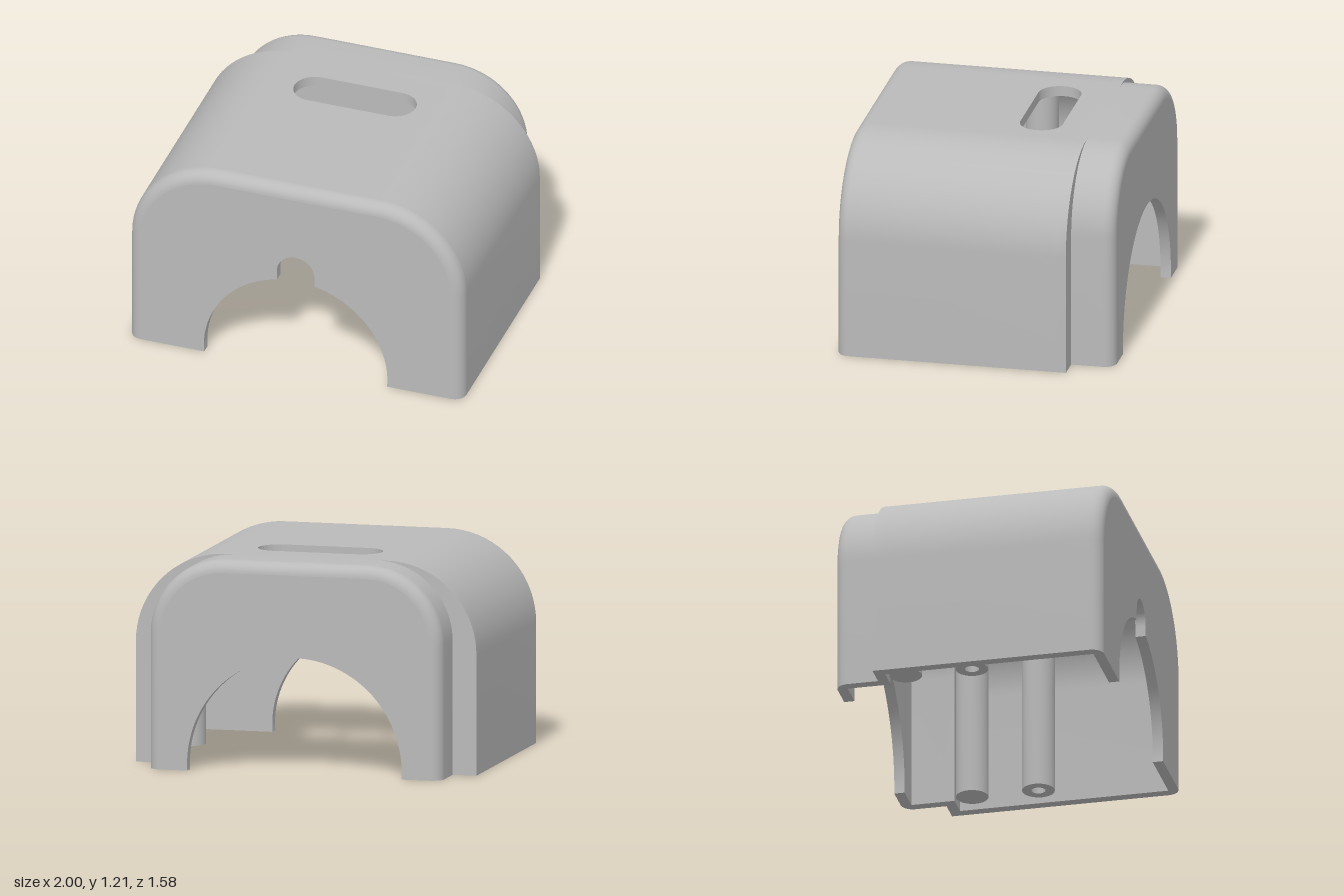
import * as THREE from 'three';
import { toCreasedNormals } from 'three/addons/utils/BufferGeometryUtils.js';

const T = 0.06;        // wall thickness
const F = 0.07;        // rim fillet radius
const TOP = 1.21;
const FRONT = 0.79, STEP = -0.54, BACK = -0.79;
const MAIN = { hw: 1, r: 0.52 };
const REAR = { hw: 0.86, r: 0.44 };
const N = 18;

// Arched outline inset by d, from the bottom at +x over the top to -x
function outline({ hw, r }, d) {
  const right = [new THREE.Vector2(hw - d, 0)];
  for (let i = 0; i <= N; i++) {
    const a = (i / N) * Math.PI / 2;
    right.push(new THREE.Vector2(hw - r + (r - d) * Math.cos(a), TOP - r + (r - d) * Math.sin(a)));
  }
  const left = right.map(p => new THREE.Vector2(-p.x, p.y)).reverse();
  return [...right, ...left];
}

// Sweep a closed section of [inset, z] points along part of an outline, with capped ends
function sweep(profile, section, from = 0, to = 2 * N + 4) {
  const columns = section.map(([d]) => outline(profile, d).slice(from, to));
  const rows = to - from, m = section.length, pos = [], index = [];
  for (let i = 0; i < rows; i++)
    for (let j = 0; j < m; j++) pos.push(columns[j][i].x, columns[j][i].y, section[j][1]);
  for (let i = 0; i < rows - 1; i++)
    for (let j = 0; j < m; j++) {
      const a = i * m + j, e = i * m + (j + 1) % m, b = a + m, c = e + m;
      index.push(a, b, c, a, c, e);
    }
  const caps = THREE.ShapeUtils.triangulateShape(section.map(([d, z]) => new THREE.Vector2(d, z)), []);
  const last = (rows - 1) * m;
  for (const [a, b, c] of caps) index.push(a, c, b, last + a, last + b, last + c);
  const geo = new THREE.BufferGeometry();
  geo.setAttribute('position', new THREE.Float32BufferAttribute(pos, 3));
  geo.setIndex(index);
  return toCreasedNormals(geo, 0.6);
}

function extrude(shape, depth, z = 0) {
  const geo = new THREE.ExtrudeGeometry(shape, { depth, bevelEnabled: false, curveSegments: 32 });
  return toCreasedNormals(geo.translate(0, 0, z), 0.6);
}

// End wall with a round opening, and optionally a keyhole notch above it
function endWall(profile, radius, cy, notch) {
  const s = new THREE.Shape(outline(profile, F));
  const low = Math.asin(cy / radius);
  if (notch) {
    const a = Math.acos(notch.r / radius);
    s.absarc(0, cy, radius, Math.PI + low, Math.PI - a, true);
    s.absarc(0, notch.y, notch.r, Math.PI, 0, true);
    s.absarc(0, cy, radius, a, -low, true);
  } else {
    s.absarc(0, cy, radius, Math.PI + low, -low, true);
  }
  return s;
}

// Post whose top follows the curved ceiling; screw posts have a blind hole
function postGeometry(x, z, hollow) {
  const r = 0.093, base = 0.03;
  const pts = hollow
    ? [[0, 0.6], [0.04, 0.6], [0.04, base], [r, base], [r, 1]]
    : [[0, base], [r, base], [r, 1]];
  const geo = new THREE.LatheGeometry(pts.map(p => new THREE.Vector2(...p)), 32);
  geo.translate(x, 0, z);
  const p = geo.attributes.position;
  const cx = MAIN.hw - MAIN.r, cr = MAIN.r - T / 2;
  for (let i = 0; i < p.count; i++)
    if (p.getY(i) > 0.9) {
      const dx = Math.max(0, Math.abs(p.getX(i)) - cx);
      p.setY(i, TOP - MAIN.r + Math.sqrt(Math.max(0, cr * cr - dx * dx)));
    }
  return toCreasedNormals(geo, 0.6);
}

export function createModel() {
  const group = new THREE.Group();
  group.name = 'cover';
  const grey = new THREE.MeshStandardMaterial({ color: 0xbababa });
  grey.name = 'grey';
  const add = (name, geo) => {
    const mesh = new THREE.Mesh(geo, grey);
    mesh.name = name;
    group.add(mesh);
  };

  // Rounded corners and sides of the main body
  const side = [[0, STEP + T], [0, FRONT - F], [T, FRONT - F], [T, STEP + T]];
  add('leftSide', sweep(MAIN, side, 0, N + 2));
  add('rightSide', sweep(MAIN, side, N + 2));

  // Top plate with a rounded slot
  const w = MAIN.hw - MAIN.r, slotY = 0.232, slotX = 0.24, slotR = 0.123;
  const plate = new THREE.Shape([
    new THREE.Vector2(-w, F - FRONT), new THREE.Vector2(w, F - FRONT),
    new THREE.Vector2(w, -STEP - T), new THREE.Vector2(-w, -STEP - T),
  ]);
  const slot = new THREE.Path();
  slot.absarc(slotX, slotY, slotR, -Math.PI / 2, Math.PI / 2, false);
  slot.absarc(-slotX, slotY, slotR, Math.PI / 2, Math.PI * 1.5, false);
  plate.holes.push(slot);
  add('topPlate', extrude(plate, T).rotateX(-Math.PI / 2).translate(0, TOP - T, 0));

  // Filleted front rim
  const arc = [];
  for (let i = 0; i <= 8; i++) {
    const a = (i / 8) * Math.PI / 2;
    arc.push([F - F * Math.cos(a), F * Math.sin(a)]);
  }
  add('frontRim', sweep(MAIN, [
    ...arc.map(([d, z]) => [d, FRONT - F + z]),
    [F, FRONT - T], [T, FRONT - T], [T, FRONT - F],
  ]));

  // Narrower rear collar with its filleted rim
  add('rearCollar', sweep(REAR, [
    [F, BACK + T],
    ...arc.map(([d, z]) => [d, BACK + F - z]).reverse(),
    [0, STEP], [T, STEP], [T, BACK + T],
  ]));

  // Step between main body and collar
  const step = new THREE.Shape([...outline(MAIN, 0), ...outline(REAR, T).reverse()]);
  add('stepWall', extrude(step, T, STEP));

  // End walls
  add('frontWall', extrude(endWall(MAIN, 0.55, 0.045, { r: 0.112, y: 0.643 }), T, FRONT - T));
  add('rearWall', extrude(endWall(REAR, 0.63, 0.04), T, BACK));

  // Inner posts
  for (const [sideName, s] of [['left', 1], ['right', -1]]) {
    add(sideName + 'ScrewPost', postGeometry(s * 0.835, 0, true));
    add(sideName + 'SupportPost', postGeometry(s * 0.835, -0.385, false));
  }
  return group;
}
